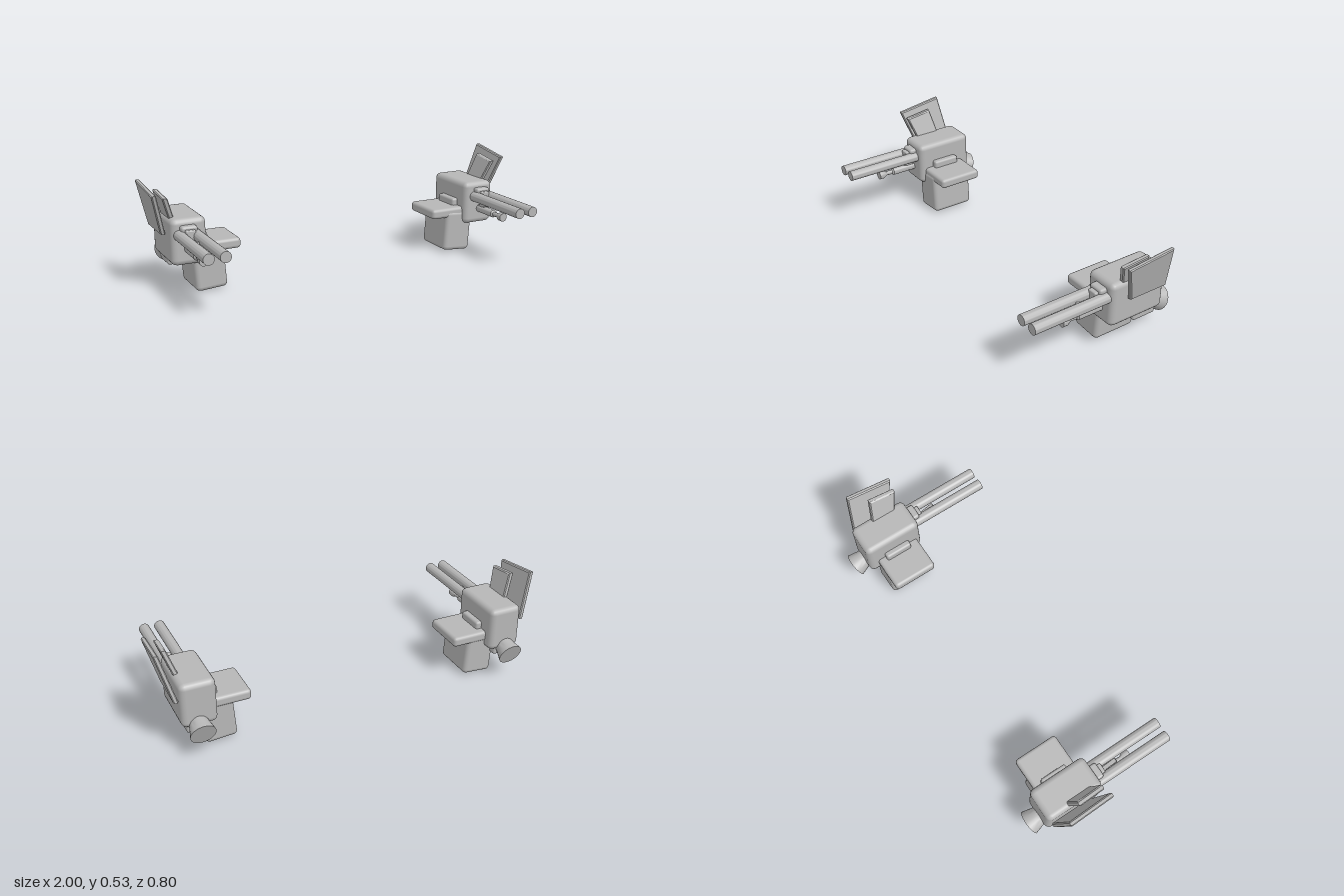
import * as THREE from 'three';
import { toCreasedNormals } from 'three/addons/utils/BufferGeometryUtils.js';
import { RoundedBoxGeometry } from 'three/addons/geometries/RoundedBoxGeometry.js';

const grey = new THREE.MeshStandardMaterial({ color: 0xb6b6b6 });
grey.name = 'grey metal';

function add(parent, name, geometry) {
  const mesh = new THREE.Mesh(geometry, grey);
  mesh.name = name;
  parent.add(mesh);
  return mesh;
}

// Soft-edged box given by its x, y and z ranges; s = 1 or -1 picks the side
function box(parent, name, s, [x0, x1], [y0, y1], [z0, z1], radius) {
  const mesh = add(parent, name, new RoundedBoxGeometry(x1 - x0, y1 - y0, z1 - z0, 2, radius));
  mesh.position.set((s * (x0 + x1)) / 2, (y0 + y1) / 2, (z0 + z1) / 2);
  return mesh;
}

// Turned part: profile of [radius, distance] along a direction from a start point
function turned(parent, name, profile, start, direction) {
  const lathe = new THREE.LatheGeometry(profile.map(([r, d]) => new THREE.Vector2(r, d)), 28);
  const mesh = add(parent, name, toCreasedNormals(lathe, 0.6));
  mesh.position.set(...start);
  mesh.quaternion.setFromUnitVectors(new THREE.Vector3(0, 1, 0), direction.normalize());
  return mesh;
}

// Bevelled plate outlined by [z, y] corners, leaning outward as it rises
function fin(parent, name, s, corners, thickness, x, lean) {
  const bevel = 0.005;
  const shape = new THREE.Shape(corners.map(([z, y]) => new THREE.Vector2(-z, y)));
  const geometry = new THREE.ExtrudeGeometry(shape, {
    depth: thickness - 2 * bevel, bevelThickness: bevel, bevelSize: bevel,
    bevelOffset: -bevel, bevelSegments: 1,
  });
  geometry.translate(0, 0, bevel - thickness / 2).rotateY(Math.PI / 2);
  const p = geometry.attributes.position;
  for (let i = 0; i < p.count; i++) p.setX(i, p.getX(i) + s * (x + lean * (p.getY(i) - 0.3)));
  geometry.computeVertexNormals();
  add(parent, name, geometry);
}

function createPod(s) {
  const pod = new THREE.Group();
  pod.name = s > 0 ? 'leftPod' : 'rightPod';
  const forward = () => new THREE.Vector3(0, 0, 1);
  const mid = 0.83;

  // Housing, inner shelf and lower magazine
  box(pod, 'housing', s, [0.735, 0.91], [0.155, 0.385], [-0.327, -0.013], 0.028);
  box(pod, 'shelf', s, [0.552, 0.8], [0.195, 0.248], [-0.278, -0.041], 0.017);
  box(pod, 'shelfBracket', s, [0.705, 0.76], [0.23, 0.285], [-0.235, -0.09], 0.012);
  const magazine = box(pod, 'magazine', s, [0.634, 0.794], [0.006, 0.226], [-0.27, -0.037], 0.022);
  magazine.rotation.z = -0.07 * s;

  // Twin barrels with their top mount
  for (const x of [0.793, 0.872]) {
    turned(pod, 'barrel', [[0, 0], [0.027, 0], [0.027, 0.44], [0, 0.44]], [s * x, 0.307, -0.04], forward());
  }
  box(pod, 'barrelMount', s, [0.79, 0.87], [0.3, 0.355], [-0.04, 0.022], 0.012);
  box(pod, 'barrelMountLip', s, [0.805, 0.855], [0.29, 0.34], [-0.02, 0.042], 0.006);

  // Small lower gun with a necked muzzle
  turned(pod, 'lowerGun', [
    [0, 0], [0.02, 0], [0.02, 0.14], [0.012, 0.147], [0.011, 0.182],
    [0.022, 0.202], [0.022, 0.228], [0, 0.228],
  ], [s * mid, 0.236, -0.02], forward());

  // Slanted brace between the barrels and the lower gun
  const brace = box(pod, 'brace', s, [mid - 0.011, mid + 0.011], [0.258, 0.28], [-0.03, 0.13], 0.004);
  brace.rotation.x = -0.36;

  // Rear nozzle, aimed back and slightly down, with its support underneath
  turned(pod, 'nozzle', [
    [0, 0], [0.04, 0], [0.043, 0.03], [0.05, 0.07], [0.058, 0.1], [0.0627, 0.12], [0, 0.12],
  ], [s * mid, 0.185, -0.266], new THREE.Vector3(0, -0.36, -0.933));
  box(pod, 'nozzleSupport', s, [0.775, 0.885], [0.115, 0.18], [-0.308, -0.175], 0.012);

  // Outer and inner fins
  fin(pod, 'outerFin', s, [[-0.1, 0.295], [-0.03, 0.505], [-0.275, 0.537], [-0.31, 0.295]], 0.024, 0.925, 0.27);
  fin(pod, 'innerFin', s, [[-0.085, 0.35], [-0.041, 0.485], [-0.185, 0.502], [-0.215, 0.35]], 0.026, 0.86, 0.35);
  return pod;
}

export function createModel() {
  const model = new THREE.Group();
  model.name = 'twinGunPods';
  for (const s of [1, -1]) model.add(createPod(s));
  return model;
}
